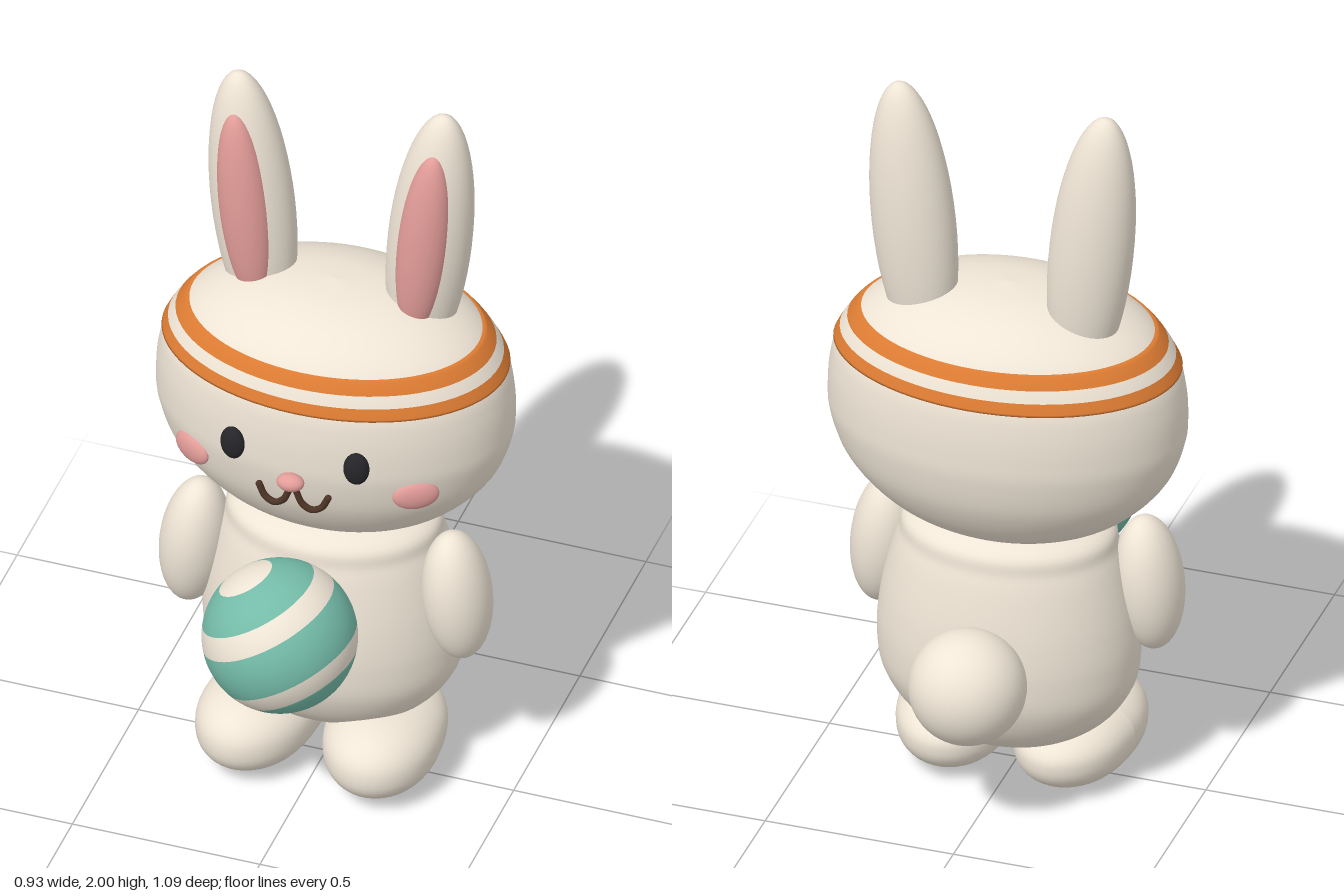
import * as THREE from 'three';

const mat = (color) => new THREE.MeshStandardMaterial({ color, roughness: 0.8 });
const cream = mat(0xefe5d6), orange = mat(0xdd7c33), pink = mat(0xe39d99);
const teal = mat(0x74bba8), black = mat(0x26262a), brown = mat(0x4d3426);

function add(parent, name, geometry, material, [x, y, z] = [0, 0, 0]) {
  const mesh = new THREE.Mesh(geometry, material);
  mesh.name = name;
  mesh.position.set(x, y, z);
  parent.add(mesh);
  return mesh;
}

function ellipsoid(parent, name, material, centre, [rx, ry, rz]) {
  const geometry = new THREE.SphereGeometry(1, 40, 28).scale(rx, ry, rz);
  return add(parent, name, geometry, material, centre);
}

// Smooth [radius, height] profile, bottom to top
function smoothProfile(points, steps = 60) {
  const curve = new THREE.SplineCurve(points.map(([r, y]) => new THREE.Vector2(r, y)));
  return curve.getPoints(steps).map((p) => new THREE.Vector2(Math.max(p.x, 0), p.y));
}

// Lathe squashed in depth, giving oval cross-sections
function ovalLathe(parent, name, profile, material, depth, z) {
  const mesh = add(parent, name, new THREE.LatheGeometry(profile, 72), material, [0, 0, z]);
  mesh.scale.z = depth;
  return mesh;
}

function radiusAt(profile, y) {
  const i = profile.findIndex((p) => p.y >= y);
  const a = profile[i - 1], b = profile[i];
  return a.x + (b.x - a.x) * (y - a.y) / (b.y - a.y);
}

// Foot: boxy ellipsoid that gets lower towards the heel
function footGeometry() {
  const geometry = new THREE.SphereGeometry(1, 40, 28);
  const p = geometry.attributes.position;
  const soft = (v) => Math.sign(v) * Math.pow(Math.abs(v), 0.88);
  for (let i = 0; i < p.count; i++) {
    const z = p.getZ(i), y = soft(p.getY(i));
    const slope = y > 0 ? 0.88 + 0.16 * z : 1;
    p.setXYZ(i, 0.15 * p.getX(i), 0.115 * y * slope, 0.23 * soft(z));
  }
  geometry.computeVertexNormals();
  return geometry;
}

export function createModel() {
  const model = new THREE.Group();
  model.name = 'rabbitWithBall';

  // Body and tail
  const body = smoothProfile([[0, 0.12], [0.15, 0.14], [0.26, 0.205], [0.325, 0.3],
    [0.34, 0.4], [0.333, 0.5], [0.313, 0.6], [0.285, 0.69], [0.245, 0.76], [0, 0.82]]);
  ovalLathe(model, 'body', body, cream, 0.78, -0.065);
  ellipsoid(model, 'tail', cream, [0, 0.43, -0.39], [0.15, 0.15, 0.15]);

  // Head
  const headDepth = 0.7, headZ = -0.075;
  const head = smoothProfile([[0, 0.748], [0.16, 0.752], [0.27, 0.79], [0.355, 0.85], [0.425, 0.935],
    [0.46, 1.03], [0.466, 1.1], [0.46, 1.18], [0.44, 1.25], [0.38, 1.335], [0.28, 1.395], [0.15, 1.43], [0, 1.442]], 90);
  ovalLathe(model, 'head', head, cream, headDepth, headZ);

  // Striped headband following the head
  const headband = new THREE.Group();
  headband.name = 'headband';
  model.add(headband);
  [[1.24, 1.272, orange], [1.272, 1.302, cream], [1.302, 1.335, orange]].forEach(([y0, y1, material], i) => {
    const stripe = [];
    for (let k = 0; k <= 6; k++) {
      const y = y0 + (y1 - y0) * k / 6;
      stripe.push(new THREE.Vector2(radiusAt(head, y) + 0.007, y));
    }
    // Turn the outer edges in to the head
    if (i === 0) stripe.unshift(new THREE.Vector2(stripe[0].x - 0.02, y0));
    if (i === 2) stripe.push(new THREE.Vector2(stripe[6].x - 0.02, y1));
    ovalLathe(headband, 'headbandStripe', stripe, material, headDepth, headZ);
  });

  // Paired parts
  for (const side of [1, -1]) {
    const label = side > 0 ? 'left' : 'right';

    const ear = new THREE.Group();
    ear.name = label + 'Ear';
    ear.position.set(side * 0.236, 1.6, -0.117);
    ear.rotation.z = -side * 0.1;
    model.add(ear);
    ellipsoid(ear, 'outerEar', cream, [0, 0, 0], [0.108, 0.4, 0.089]);
    ellipsoid(ear, 'innerEar', pink, [0, 0.02, 0.057], [0.066, 0.285, 0.053]);

    ellipsoid(model, label + 'Eye', black, [side * 0.165, 1.107, 0.239], [0.033, 0.047, 0.022])
      .rotation.y = side * 0.2;
    ellipsoid(model, label + 'Cheek', pink, [side * 0.298, 1.005, 0.166], [0.06, 0.041, 0.02])
      .rotation.y = side * 0.53;
    ellipsoid(model, label + 'Arm', cream, [side * 0.35, 0.585, 0], [0.088, 0.187, 0.1])
      .rotation.z = side * 0.1;

    const foot = add(model, label + 'Foot', footGeometry(), cream, [side * 0.163, 0.115, 0.015]);
    foot.rotation.y = side * 0.1;
  }

  // Nose and mouth
  ellipsoid(model, 'nose', pink, [0, 1.045, 0.27], [0.036, 0.023, 0.027]);
  const mouthPath = [[-0.092, 1], [-0.075, 0.968], [-0.05, 0.957], [-0.025, 0.972], [0, 1.022],
    [0.025, 0.972], [0.05, 0.957], [0.075, 0.968], [0.092, 1]]
    .map(([x, y]) => new THREE.Vector3(x, y, 0.253 - 0.9 * x * x));
  add(model, 'mouth', new THREE.TubeGeometry(new THREE.CatmullRomCurve3(mouthPath), 64, 0.009, 8), brown);
  for (const end of [mouthPath[0], mouthPath[8]]) {
    add(model, 'mouthEnd', new THREE.SphereGeometry(0.009, 10, 8), brown, end.toArray());
  }

  // Striped ball, one sphere zone per stripe
  const ball = new THREE.Group();
  ball.name = 'ball';
  ball.position.set(0, 0.617, 0.35);
  ball.rotation.z = Math.PI / 6;
  model.add(ball);
  const limits = [0, 22.5, 54, 72, 108, 126, 157.5, 180].map(THREE.MathUtils.degToRad);
  for (let i = 0; i < 7; i++) {
    const zone = new THREE.SphereGeometry(0.197, 56, 10, 0, Math.PI * 2, limits[i], limits[i + 1] - limits[i]);
    add(ball, 'ballStripe', zone, i % 2 ? teal : cream);
  }

  return model;
}
